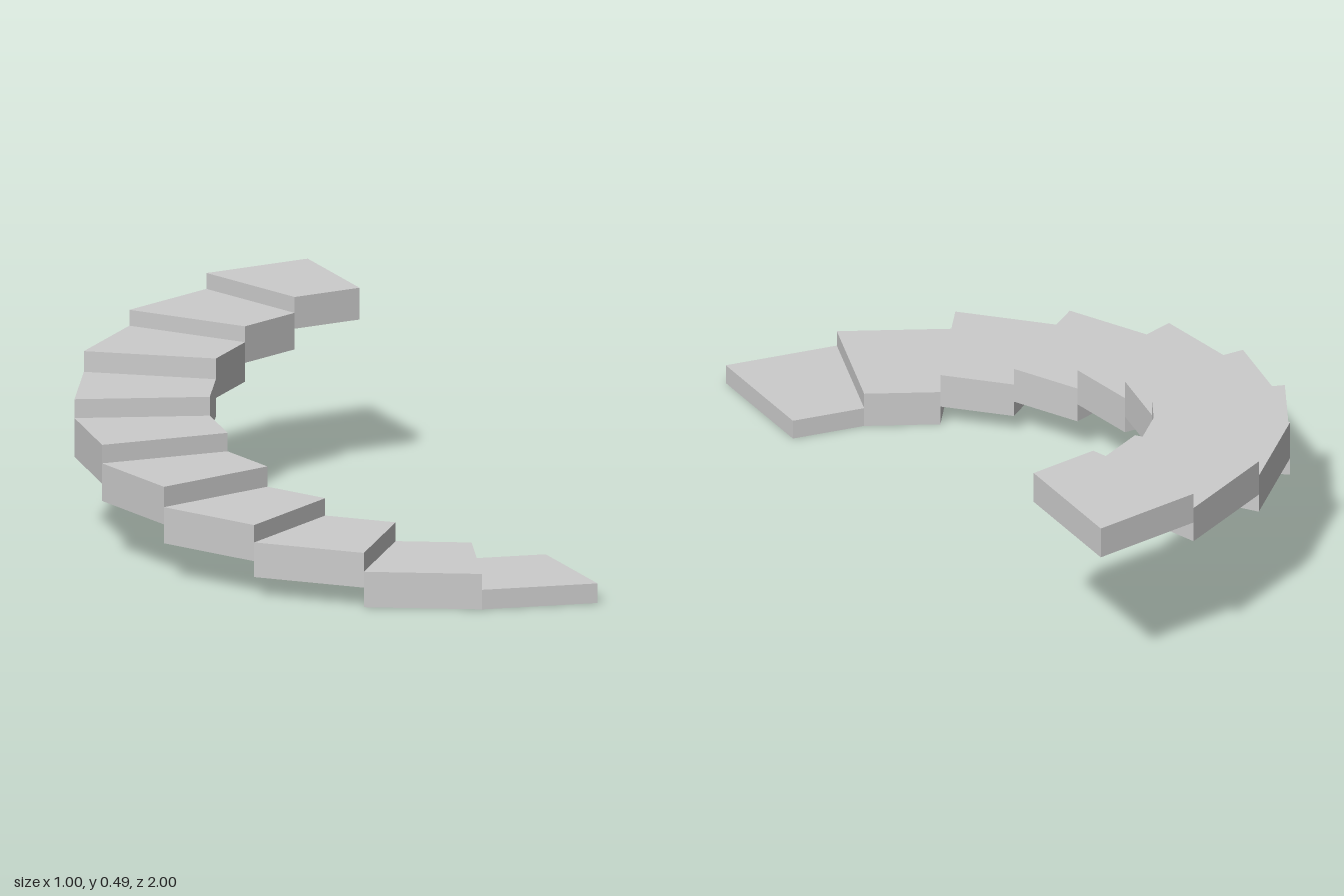
import * as THREE from 'three';

const OUTER = 1, INNER = 0.642, CENTRE_X = 0.5;
const STEP_ANGLE = Math.PI / 10;
// height of each tread, from the lowest step to the highest
const TREADS = [0.053, 0.096, 0.147, 0.194, 0.249, 0.299, 0.35, 0.406, 0.449, 0.492];

// plan position on the curve; angle 0 is the front end of the stair
function planPoint(radius, angle) {
  return new THREE.Vector2(CENTRE_X - radius * Math.sin(angle), -radius * Math.cos(angle));
}

// one wedge-shaped block between two heights
function wedge(start, bottom, top) {
  const end = start + STEP_ANGLE;
  const shape = new THREE.Shape([
    planPoint(OUTER, start), planPoint(INNER, start),
    planPoint(INNER, end), planPoint(OUTER, end),
  ]);
  const geometry = new THREE.ExtrudeGeometry(shape, { depth: top - bottom, bevelEnabled: false });
  geometry.rotateX(-Math.PI / 2);
  geometry.translate(0, bottom, 0);
  return geometry;
}

export function createModel() {
  const stair = new THREE.Group();
  stair.name = 'curvedStair';
  const material = new THREE.MeshStandardMaterial({ color: 0xcccccc, flatShading: true });

  // each step reaches down to the tread two steps below
  TREADS.forEach((top, i) => {
    const bottom = i < 2 ? 0 : TREADS[i - 2];
    const step = new THREE.Mesh(wedge(i * STEP_ANGLE, bottom, top), material);
    step.name = `step${i + 1}`;
    stair.add(step);
  });
  return stair;
}
